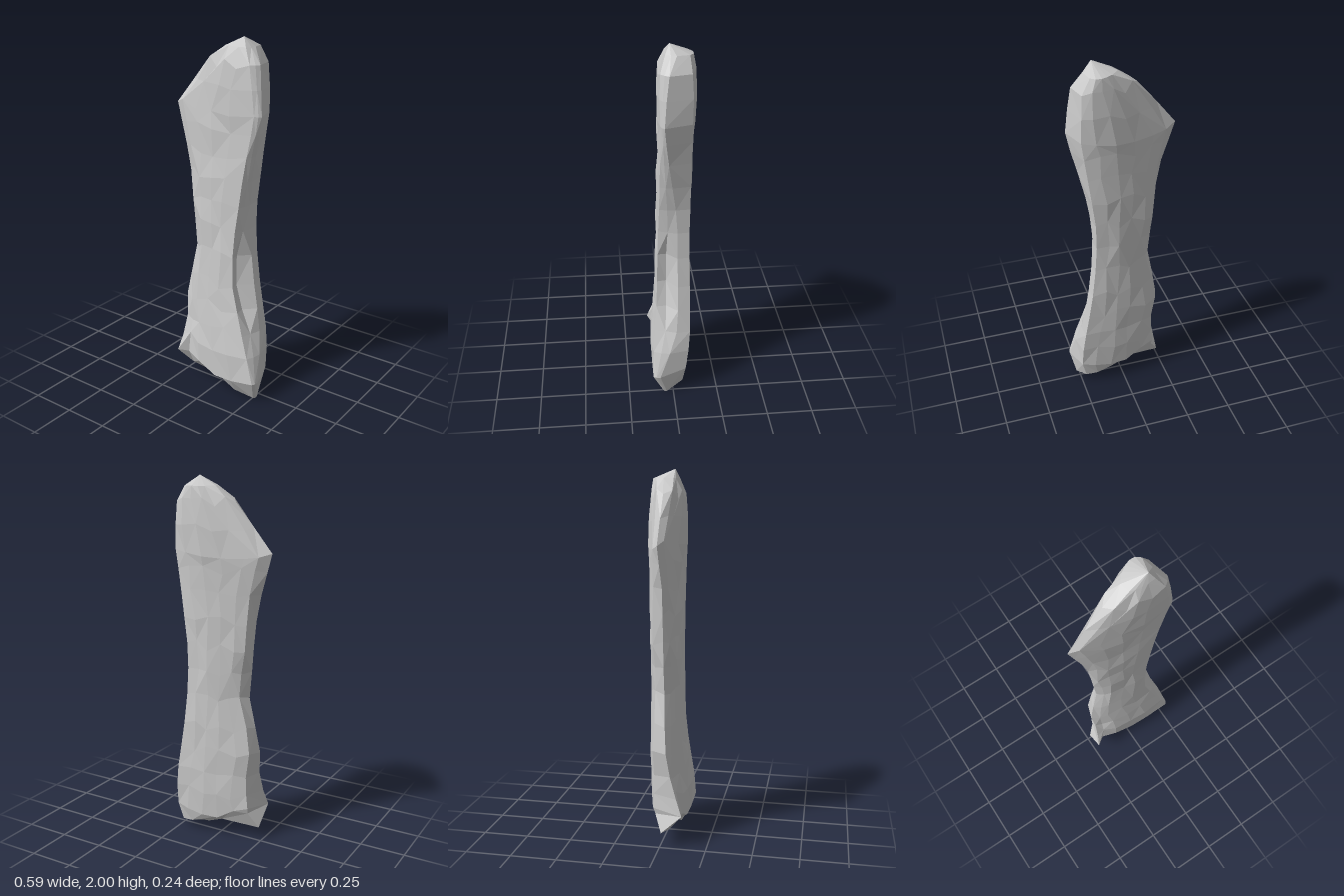
import * as THREE from 'three';

// y, left x, right x, front z, back z, front lip x, left edge z, left thickness, right edge z
const ROWS = [
  [0.18, -0.236, 0.293, 0.120, -0.088, 0.280, 0.117, 1.0, 0.075],
  [0.27, -0.220, 0.268, 0.114, -0.100, 0.240, 0.085, 0.95, 0.02],
  [0.39, -0.212, 0.238, 0.102, -0.104, 0.200, 0.050, 0.85, -0.02],
  [0.52, -0.225, 0.215, 0.090, -0.105, 0.160, 0.030, 0.8, -0.03],
  [0.66, -0.200, 0.192, 0.082, -0.104, 0.122, 0.020, 0.8, -0.03],
  [0.83, -0.166, 0.172, 0.078, -0.101, 0.118, 0.012, 0.8, -0.03],
  [0.98, -0.180, 0.163, 0.074, -0.102, 0.130, 0.010, 0.85, -0.03],
  [1.12, -0.190, 0.166, 0.070, -0.105, 0.150, 0.010, 0.85, -0.02],
  [1.26, -0.204, 0.190, 0.068, -0.108, 0.170, 0.010, 0.85, 0.0],
  [1.40, -0.230, 0.222, 0.067, -0.112, 0.195, 0.012, 0.75, 0.02],
  [1.52, -0.266, 0.252, 0.066, -0.116, 0.220, 0.005, 0.6, 0.035],
  [1.62, -0.295, 0.272, 0.068, -0.120, 0.238, 0.000, 0.45, 0.045],
  [1.75, -0.190, 0.259, 0.070, -0.124, 0.225, -0.005, 0.6, 0.035],
  [1.87, -0.088, 0.243, 0.064, -0.116, 0.205, -0.010, 0.8, 0.02],
  [1.95, 0.020, 0.186, 0.036, -0.106, 0.165, -0.030, 0.9, -0.02],
];

// Fraction across the width, and depth as a fraction of front (+) or back (-)
const FRONT = [[0.1, 0.66], [0.27, 0.9], [0.5, 0.98], [0.72, 1]];
const BACK = [[0.78, 0.98], [0.6, 1], [0.42, 0.9], [0.24, 0.74], [0.09, 0.5]];

// Small seeded offset that roughens the faces
let seed = 7;
function jitter(amount) {
  seed = (seed * 16807) % 2147483647;
  return (seed / 2147483647 - 0.5) * 2 * amount;
}

function ring([y, xl, xr, zf, zb, lip, zl, thick, zr]) {
  const { lerp, smoothstep } = THREE.MathUtils;
  const w = xr - xl;
  const rough = y > 0.2 && y < 1.9 ? 1 : 0;
  const taper = (u) => thick + (1 - thick) * Math.min(1, u / 0.55);
  const p = (x, z) => new THREE.Vector3(x, y, z);
  const bump = (x, z) => new THREE.Vector3(
    x + jitter(0.012) * rough, y + jitter(0.03) * rough, z + jitter(0.005) * rough);
  const pts = [p(xl, zl)];
  for (const [u, d] of FRONT) pts.push(bump(xl + u * (lip - xl), zf * d * taper(u)));
  pts.push(p(lip, zf * 0.95));
  // Hollow running up the side between the front lip and the rear edge
  const hollow = smoothstep(xr - lip, 0.03, 0.06) * (1 - smoothstep(y, 1.0, 1.2));
  pts.push(p(lerp((lip + xr) / 2 + 0.004, lip - 0.008, hollow), lerp((zf + zr) / 2, zf * 0.35, hollow)));
  pts.push(p(xr, zr));
  // Rear corner: square below, chamfered towards the top and at the foot
  const chamfer = Math.max(smoothstep(y, 1.1, 1.6), 1 - smoothstep(y, 0.18, 0.35));
  pts.push(p(xl + w * lerp(0.985, 0.92, chamfer), zb * lerp(0.92, 0.8, chamfer)));
  for (const [u, d] of BACK) pts.push(bump(xl + u * w, zb * d * taper(u)));
  return pts;
}

// Uneven lower rim: high at the left corner, low across the middle
function shapeRim(rim) {
  for (const v of rim) {
    const left = THREE.MathUtils.clamp((-v.x - 0.03) / 0.2, 0, 1);
    const right = THREE.MathUtils.clamp((v.x - 0.1) / 0.19, 0, 1);
    v.y = 0.09 + 0.09 * Math.sqrt(left) + 0.035 * right + (v.z < 0 ? 0.03 : 0);
    if (v.z > 0.09) v.z -= 0.012 * (1 - Math.max(left, right));
  }
}

// Sole edge: slopes down to the right and rises towards the back
function footRing(rim) {
  return rim.map((v, i) => {
    if (i === 0) return new THREE.Vector3(-0.235, 0.078, 0.005);
    const drop = THREE.MathUtils.clamp((v.x + 0.03) / 0.18, 0, 1);
    const notch = v.z < 0 && v.x < -0.1 ? 0.06 : 0;
    const z = v.z > 0 ? v.z * 0.5 : v.z * 0.8;
    const y = 0.08 - 0.078 * drop + Math.max(0, -z) * 0.8 + notch;
    return new THREE.Vector3(v.x * (v.x < 0 ? 0.98 : 0.9), y, z);
  });
}

function slabGeometry() {
  const rings = ROWS.map(ring);
  shapeRim(rings[0]);
  rings.unshift(footRing(rings[0]));

  const pos = [];
  const tri = (a, b, c) => pos.push(...a.toArray(), ...b.toArray(), ...c.toArray());
  const n = rings[0].length;
  for (let r = 0; r < rings.length - 1; r++) {
    const lo = rings[r], hi = rings[r + 1];
    for (let i = 0; i < n; i++) {
      const j = (i + 1) % n;
      if ((r + i) % 2) {
        tri(lo[i], lo[j], hi[j]);
        tri(lo[i], hi[j], hi[i]);
      } else {
        tri(lo[i], lo[j], hi[i]);
        tri(lo[j], hi[j], hi[i]);
      }
    }
  }
  // Crown point and sole
  const crown = new THREE.Vector3(0.14, 2, 0.012);
  const sole = new THREE.Vector3(0.0, 0.075, 0);
  const last = rings[rings.length - 1];
  for (let i = 0; i < n; i++) {
    const j = (i + 1) % n;
    tri(last[i], last[j], crown);
    tri(rings[0][j], rings[0][i], sole);
  }
  const geo = new THREE.BufferGeometry();
  geo.setAttribute('position', new THREE.Float32BufferAttribute(pos, 3));
  geo.computeVertexNormals();
  return geo;
}

export function createModel() {
  const group = new THREE.Group();
  group.name = 'stoneSlab';
  const material = new THREE.MeshStandardMaterial({
    color: 0xcccccc, flatShading: true, side: THREE.DoubleSide,
  });
  const body = new THREE.Mesh(slabGeometry(), material);
  body.name = 'slabBody';
  group.add(body);
  return group;
}
